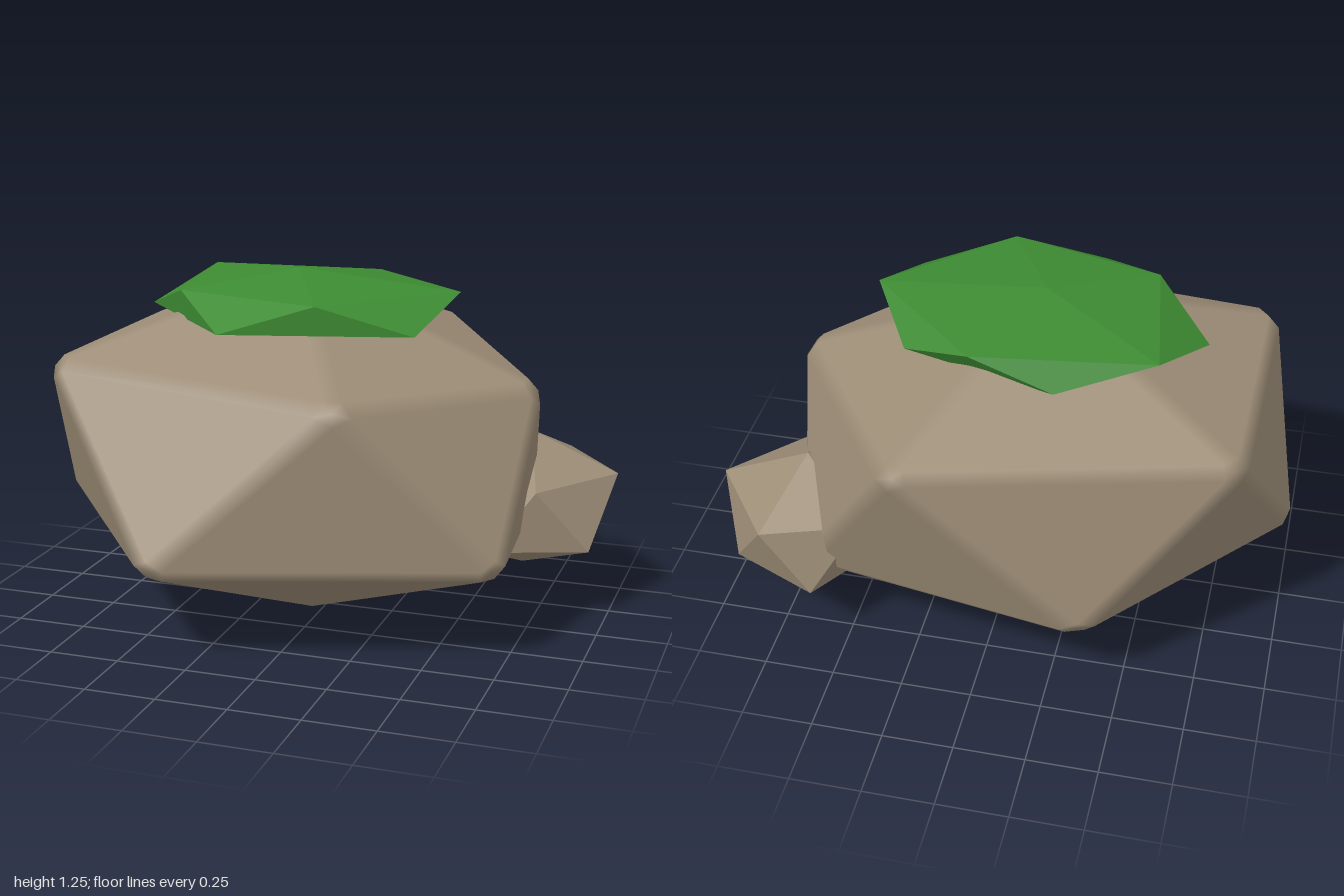
import * as THREE from 'three';

const V = (p) => new THREE.Vector3(...p);

// Twenty triangles of an icosahedron: 0 top, 1-5 upper ring, 6-10 lower ring, 11 bottom
function icoFaces() {
  const faces = [];
  for (let i = 0; i < 5; i++) {
    const j = (i + 1) % 5;
    const u = 1 + i, un = 1 + j, l = 6 + i, ln = 6 + j;
    faces.push([0, un, u], [u, un, l], [l, un, ln], [11, l, ln]);
  }
  return faces;
}

function bufferGeometry(positions, normals) {
  const g = new THREE.BufferGeometry();
  g.setAttribute('position', new THREE.Float32BufferAttribute(positions, 3));
  if (normals) g.setAttribute('normal', new THREE.Float32BufferAttribute(normals, 3));
  else g.computeVertexNormals();
  return g;
}

// Sharp faceted stone
function facetedStone(points) {
  const pos = [];
  for (const f of icoFaces()) for (const i of f) pos.push(...points[i]);
  return bufferGeometry(pos);
}

// Stone with narrow bevels that blend the normals of neighbouring flat faces
function bevelledStone(points, k) {
  const v = points.map(V);
  const pos = [], nor = [];
  const edges = new Map();
  const around = v.map(() => new Map());
  const emit = (...corners) => corners.forEach((c) => {
    pos.push(c.p.x, c.p.y, c.p.z);
    nor.push(c.n.x, c.n.y, c.n.z);
  });
  for (const f of icoFaces()) {
    const n = new THREE.Triangle(v[f[0]], v[f[1]], v[f[2]]).getNormal(new THREE.Vector3());
    const c = f.map((a, i) => {
      const p = v[a].clone();
      for (const b of [f[(i + 1) % 3], f[(i + 2) % 3]]) {
        p.addScaledVector(v[b].clone().sub(v[a]).normalize(), k);
      }
      return { p, n };
    });
    emit(...c);
    f.forEach((a, i) => {
      const b = f[(i + 1) % 3];
      edges.set(a + ',' + b, [c[i], c[(i + 1) % 3]]);
      around[a].set(b, { corner: c[i], next: f[(i + 2) % 3] });
    });
  }
  // Edge strips
  for (const [key, [a, b]] of edges) {
    const [i, j] = key.split(',').map(Number);
    if (i > j) continue;
    const [d, e] = edges.get(j + ',' + i);
    emit(b, a, e);
    emit(b, e, d);
  }
  // Five-sided corner caps
  for (const ring of around) {
    const loop = [];
    let key = ring.keys().next().value;
    for (let i = 0; i < 5; i++) {
      const step = ring.get(key);
      loop.push(step.corner);
      key = step.next;
    }
    const mid = { p: new THREE.Vector3(), n: new THREE.Vector3() };
    for (const c of loop) { mid.p.addScaledVector(c.p, 0.2); mid.n.add(c.n); }
    mid.n.normalize();
    loop.forEach((c, i) => emit(mid, c, loop[(i + 1) % 5]));
  }
  return bufferGeometry(pos, nor);
}

export function createModel() {
  const group = new THREE.Group();
  const stone = new THREE.MeshStandardMaterial({ color: 0x9c8c76 });
  stone.name = 'stone';
  const moss = new THREE.MeshStandardMaterial({ color: 0x3d8b32 });
  moss.name = 'moss';
  const add = (name, geometry, material) => {
    const mesh = new THREE.Mesh(geometry, material);
    mesh.name = name;
    group.add(mesh);
  };

  // Large boulder
  add('boulder', bevelledStone([
    [-0.1, 1.25, -0.02],
    [0.78, 0.88, 0], [0.23, 0.9, 0.62], [-0.87, 0.95, 0.45], [-0.86, 0.95, -0.5], [0.26, 0.96, -0.8],
    [0.75, 0.32, 0.43], [-0.38, 0.32, 0.8], [-1.02, 0.36, -0.01], [-0.37, 0.33, -0.73], [0.66, 0.29, -0.52],
    [-0.06, -0.03, 0],
  ], 0.04), stone);

  // Small stone half sunk into the boulder's side
  add('sideStone', facetedStone([
    [0.68, 0.635, -0.33],
    [1, 0.5, -0.33], [0.76, 0.485, -0.04], [0.45, 0.49, -0.14], [0.45, 0.49, -0.52], [0.77, 0.5, -0.64],
    [0.94, 0.26, -0.12], [0.6, 0.26, 0], [0.4, 0.26, -0.33], [0.6, 0.26, -0.64], [0.91, 0.27, -0.51],
    [0.66, 0.13, -0.32],
  ]), stone);

  // Moss cap on top
  add('mossCap', facetedStone([
    [-0.11, 1.243, -0.02],
    [0.48, 1.19, -0.02], [0.08, 1.185, 0.37], [-0.46, 1.185, 0.23], [-0.54, 1.19, -0.31], [0.08, 1.185, -0.39],
    [0.4, 1.085, 0.28], [-0.24, 1.085, 0.45], [-0.67, 1.085, -0.01], [-0.21, 1.085, -0.4], [0.33, 1.09, -0.26],
    [-0.1, 1.02, -0.02],
  ]), moss);

  return group;
}
